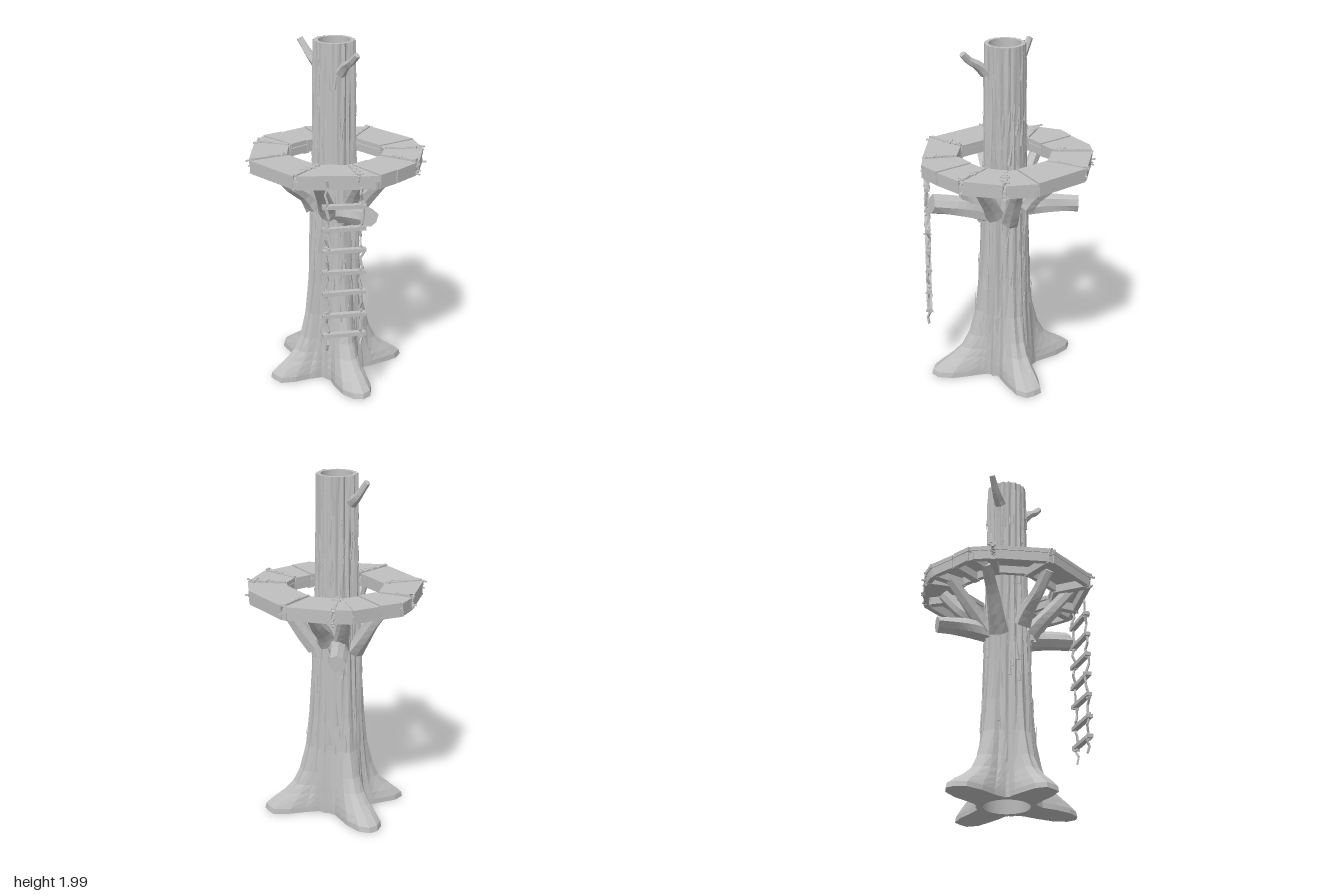
import * as THREE from 'three';
import { mergeGeometries } from 'three/addons/utils/BufferGeometryUtils.js';

const V = (x, y, z) => new THREE.Vector3(x, y, z);

export function createModel() {
  const group = new THREE.Group();
  const wood = new THREE.MeshStandardMaterial({ color: 0xbfbfbf, flatShading: true, side: THREE.DoubleSide });
  wood.name = 'plain grey wood';

  let seed = 7;
  const rnd = (a = 0, b = 1) => {
    seed = (seed * 16807) % 2147483647;
    return a + (b - a) * (seed / 2147483647);
  };
  const add = (name, geos) => {
    const list = [].concat(geos).map((g) => (g.index ? g.toNonIndexed() : g));
    const mesh = new THREE.Mesh(list.length > 1 ? mergeGeometries(list) : list[0], wood);
    mesh.name = name;
    group.add(mesh);
  };

  // Straight box-section bar between two points
  const bar = (a, b, w, h) => {
    const o = new THREE.Object3D();
    o.position.copy(a).add(b).multiplyScalar(0.5);
    o.lookAt(b);
    o.updateMatrix();
    return new THREE.BoxGeometry(w, h, a.distanceTo(b)).applyMatrix4(o.matrix);
  };

  // Tapered, slightly gnarled limb along a curve, closed at its tip
  const limb = (pts, r0, r1, sides = 7) => {
    const n = 7;
    const curve = new THREE.CatmullRomCurve3(pts);
    const g = new THREE.TubeGeometry(curve, n, 1, sides);
    const p = g.attributes.position;
    for (let i = 0; i <= n; i++) {
      const old = curve.getPointAt(i / n);
      const c = i >= n - 1 ? curve.getPointAt(1) : old;
      const r = i === n ? 0 : r0 + (r1 - r0) * Math.pow(i / (n - 1), 0.7);
      for (let j = 0; j <= sides; j++) {
        const k = i * (sides + 1) + j;
        const bump = r * (1 + 0.12 * Math.sin((j % sides) * 2.6 + i * 0.5));
        const v = V().fromBufferAttribute(p, k).sub(old).multiplyScalar(bump).add(c);
        p.setXYZ(k, v.x, v.y, v.z);
      }
    }
    return g;
  };

  // Trunk: rows of height, radius and root spread
  const rows = [
    [0.01, 0.168, 1], [0.04, 0.168, 0.97], [0.08, 0.167, 0.78], [0.12, 0.165, 0.56], [0.17, 0.163, 0.36],
    [0.25, 0.158, 0.22], [0.4, 0.147, 0.11], [0.6, 0.14, 0.06], [0.85, 0.135, 0.03], [1.05, 0.13, 0.02],
    [1.3, 0.121, 0], [1.6, 0.116, 0], [1.85, 0.114, 0], [2, 0.112, 0],
  ];
  const inner = [[2, 0.09, 0], [1, 0.088, 0], [0.3, 0.11, 0], [0.01, 0.13, 0]];
  const roots = [[-0.11, 0.385], [0.42, 0.16], [-0.455, -0.03], [0.12, -0.415]]
    .map(([x, z]) => ({ a: Math.atan2(z, x), len: Math.hypot(x, z) }));
  const radius = (t, r, spread) => {
    let out = r;
    for (const { a, len } of roots) {
      const d = Math.atan2(Math.sin(t - a), Math.cos(t - a));
      out += spread * (len - 0.168) * Math.exp(-Math.pow(Math.abs(d) / 0.36, 2.6));
    }
    return out;
  };
  const surface = (y) => {
    let i = 0;
    while (i < rows.length - 2 && rows[i + 1][0] < y) i++;
    const k = (y - rows[i][0]) / (rows[i + 1][0] - rows[i][0]);
    return [1, 2].map((c) => rows[i][c] + k * (rows[i + 1][c] - rows[i][c]));
  };
  const seg = 52, pos = [], idx = [];
  const loops = [...rows, ...inner, rows[0]];
  loops.forEach(([y, r, spread], i) => {
    for (let j = 0; j < seg; j++) {
      const t = (j / seg) * Math.PI * 2;
      const bark = i < rows.length || i === loops.length - 1
        ? 0.005 * Math.sin(j * 2.4 + y * 2) + 0.004 * Math.sin(j * 4.1 - y * 3) : 0;
      const q = radius(t, r, spread) + bark;
      pos.push(q * Math.cos(t), y, q * Math.sin(t));
      if (i < loops.length - 1) {
        const a = i * seg + j, b = i * seg + ((j + 1) % seg);
        idx.push(a, a + seg, b, b, a + seg, b + seg);
      }
    }
  });
  const trunk = new THREE.BufferGeometry();
  trunk.setAttribute('position', new THREE.Float32BufferAttribute(pos, 3));
  trunk.setIndex(idx);
  trunk.computeVertexNormals();
  add('hollow trunk with roots', trunk);

  // Loose slivers of bark
  const bark = [];
  for (let i = 0; i < 170; i++) {
    const t = rnd(0, Math.PI * 2), y = rnd(0.25, 1.92), len = rnd(0.06, 0.18);
    const r = radius(t, ...surface(y)) + 0.003;
    const g = new THREE.ConeGeometry(rnd(0.008, 0.018), len, 3);
    g.scale(1, 1, 0.4).rotateX(rnd(-0.03, 0.08)).rotateZ(rnd(-0.15, 0.15));
    g.rotateY(Math.PI / 2 - t).translate(r * Math.cos(t), Math.min(y, 1.99 - len / 2), r * Math.sin(t));
    bark.push(g);
  }
  add('bark slivers', bark);

  // Limbs carrying the deck
  const props = [0.3, 1.0, 1.8, 2.8, 3.55, 4.13, 5.13, 5.85].map((t, i) => {
    const at = (r, y) => V(r * Math.cos(t), y, r * Math.sin(t));
    const low = 1.0 + (i % 3) * 0.03;
    return limb([at(0.125, low), at(0.18, low + 0.07), at(0.27, 1.2), at(0.37, 1.31)], 0.056, 0.034);
  });
  add('deck support limbs', props);

  // Sawn-off stubs and upper twigs
  add('left sawn branch', limb([V(0.11, 1.02, 0.04), V(0.22, 1.06, 0.07), V(0.42, 1.11, 0.13)], 0.062, 0.055, 8));
  add('right sawn branch', limb([V(-0.11, 1.035, -0.06), V(-0.2, 1.04, -0.11), V(-0.36, 1.035, -0.22)], 0.06, 0.048, 8));
  add('upper right twig', limb([V(-0.1, 1.85, 0.03), V(-0.15, 1.89, 0.04), V(-0.22, 1.98, 0.06)], 0.036, 0.018, 6));
  add('upper left twig', limb([V(0.1, 1.84, 0.04), V(0.15, 1.89, 0.05), V(0.2, 1.92, 0.06), V(0.245, 1.965, 0.06)], 0.036, 0.018, 6));

  // Deck panels going round: outer pair then inner pair, as x, z
  const panels = [
    [[-0.18, 0.465], [0.18, 0.465], [0.125, 0.24], [-0.12, 0.24]],
    [[0.2, 0.46], [0.42, 0.21], [0.25, 0.12], [0.14, 0.23]],
    [[0.425, 0.2], [0.488, 0.12], [0.25, 0.1], [0.25, 0.115]],
    [[0.49, 0.11], [0.485, -0.015], [0.25, -0.015], [0.25, 0.097]],
    [[0.485, -0.022], [0.463, -0.19], [0.24, -0.13], [0.25, -0.022]],
    [[0.455, -0.22], [0.315, -0.395], [0.175, -0.225], [0.235, -0.138]],
    [[0.305, -0.405], [0.15, -0.485], [0.115, -0.25], [0.17, -0.23]],
    [[0.143, -0.488], [-0.2, -0.475], [-0.1, -0.25], [0.108, -0.255]],
    [[-0.21, -0.465], [-0.41, -0.28], [-0.23, -0.14], [-0.11, -0.245]],
    [[-0.415, -0.27], [-0.466, -0.187], [-0.243, -0.12], [-0.232, -0.136]],
    [[-0.467, -0.18], [-0.477, -0.02], [-0.25, -0.02], [-0.243, -0.115]],
    [[-0.477, -0.012], [-0.492, 0.11], [-0.25, 0.1], [-0.25, -0.012]],
    [[-0.49, 0.12], [-0.43, 0.22], [-0.25, 0.115], [-0.25, 0.103]],
    [[-0.42, 0.235], [-0.2, 0.457], [-0.13, 0.24], [-0.25, 0.12]],
  ];
  const lashedSeams = [0, 1, 4, 5, 7, 8, 12, 13];
  const boards = [], beams = [], lashings = [];
  panels.forEach((quad, i) => {
    const shape = new THREE.Shape(quad.map(([x, z]) => new THREE.Vector2(x, -z)));
    boards.push(new THREE.ExtrudeGeometry(shape, { depth: 0.025, bevelEnabled: false })
      .rotateX(-Math.PI / 2).translate(0, 1.336 + (i % 2) * 0.004, 0));
    const [oa, ob, ib, ia] = quad.map(([x, z]) => V(x, 1.312, z));
    const inset = (v, s) => V(v.x * s, v.y, v.z * s);
    beams.push(bar(inset(oa, 0.96), inset(ob, 0.96), 0.03, 0.055), bar(inset(ia, 1.06), inset(ib, 1.06), 0.025, 0.045));

    // Joist and cover strip along the seam with the next panel
    const next = panels[(i + 1) % panels.length];
    const mid = (p, q, y, s) => V((p[0] + q[0]) / 2 * s, y, (p[1] + q[1]) / 2 * s);
    const out = mid(quad[1], next[0], 1.305, 0.98), inn = mid(quad[2], next[3], 1.305, 1.02);
    beams.push(bar(inn, out, 0.04, 0.045));
    if (!lashedSeams.includes(i)) return;
    beams.push(bar(inn.clone().setY(1.364), out.clone().setY(1.366), 0.022, 0.012));

    // Frayed rope wraps around the joint
    for (let k = 0; k < 18; k++) {
      const edge = k < 13;
      const c = inn.clone().lerp(out, edge ? rnd(0.85, 1.02) : rnd(0.05, 0.8)).setY(edge ? rnd(1.28, 1.375) : 1.37);
      const d = V(rnd(-1, 1), rnd(-0.5, 0.5) * (edge ? 1 : 0.1), rnd(-1, 1)).multiplyScalar(0.026);
      lashings.push(bar(c.clone().sub(d), c.clone().add(d), 0.01, 0.008));
    }
  });
  add('deck panels', boards);
  add('deck beams', beams);
  add('rope lashings', lashings);

  // Rope ladder hanging from the front left edge
  const ends = [V(0.31, 0, 0.34), V(0.415, 0, 0.18)];
  const along = ends[1].clone().sub(ends[0]).normalize().multiplyScalar(0.025);
  const rungs = [], ropes = [];
  for (let i = 0; i < 7; i++) {
    const y = 1.19 - i * 0.127;
    const a = ends[0].clone().sub(along).setY(y + rnd(-0.006, 0.006));
    const b = ends[1].clone().add(along).setY(y + rnd(-0.006, 0.006));
    rungs.push(bar(a, b, 0.032, 0.022));
    for (const e of ends) {
      for (let k = 0; k < 5; k++) {
        const d = V(rnd(-1, 1), rnd(-0.4, 0.4), rnd(-1, 1)).multiplyScalar(0.018);
        const c = e.clone().setY(y + rnd(-0.016, 0.016));
        ropes.push(bar(c.clone().sub(d), c.clone().add(d), 0.01, 0.01));
      }
    }
  }
  for (const e of ends) {
    let last = e.clone().setY(1.34);
    for (let y = 1.3; y > 0.32; y -= 0.042) {
      const p = V(e.x + rnd(-0.012, 0.012), y, e.z + rnd(-0.012, 0.012));
      ropes.push(bar(last, p, 0.011, 0.011));
      last = p;
    }
  }
  add('ladder rungs', rungs);
  add('ladder ropes', ropes);

  return group;
}
